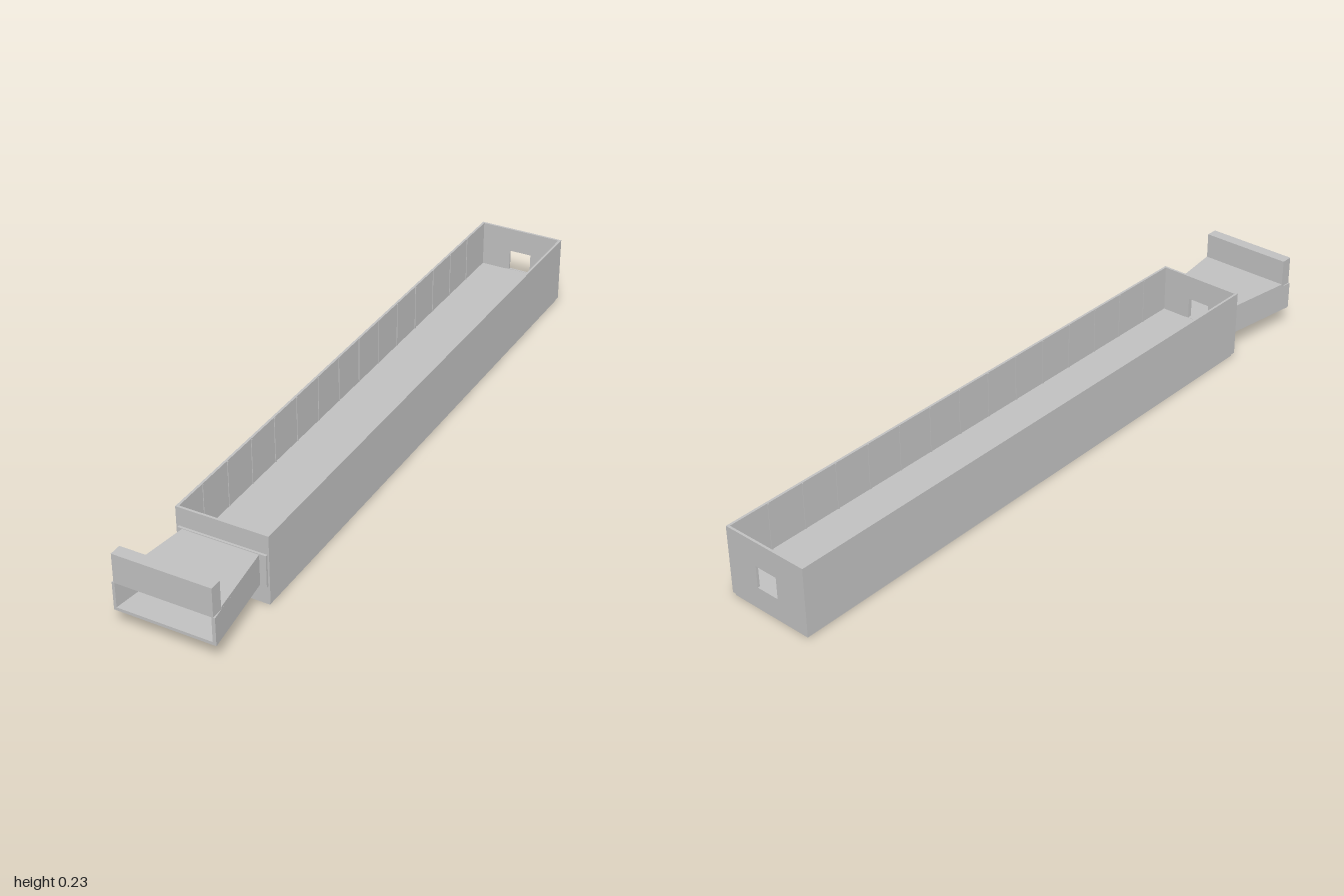
import * as THREE from 'three';

export function createModel() {
  const model = new THREE.Group();
  const grey = new THREE.MeshStandardMaterial({ color: 0xc0c0c0 });
  grey.name = 'light grey';

  const add = (name, geometry) => {
    const mesh = new THREE.Mesh(geometry, grey);
    mesh.name = name;
    model.add(mesh);
  };
  // Box given by its limits on each axis
  const box = (name, x0, x1, y0, y1, z0, z1) => add(name,
    new THREE.BoxGeometry(x1 - x0, y1 - y0, z1 - z0)
      .translate((x0 + x1) / 2, (y0 + y1) / 2, (z0 + z1) / 2));
  const outline = pts => new THREE.Shape(pts.map(p => new THREE.Vector2(...p)));
  const rect = (x0, x1, y0, y1) => [[x0, y0], [x1, y0], [x1, y1], [x0, y1]];
  // Upright plate with the square window cut through it
  const plate = (name, pts, z0, z1) => {
    const shape = outline(pts);
    shape.holes.push(outline(rect(-0.031, 0.039, 0.072, 0.136)));
    add(name, new THREE.ExtrudeGeometry(shape, { depth: z1 - z0, bevelEnabled: false })
      .translate(0, 0, z0));
  };
  // Slab with an outline in x and z, between two heights
  const slab = (name, pts, y0, y1) => add(name,
    new THREE.ExtrudeGeometry(outline(pts), { depth: y1 - y0, bevelEnabled: false })
      .rotateX(Math.PI / 2).translate(0, y1, 0));

  // Long open tray
  const L = -0.129, R = 0.136, T = 0.007, H = 0.21, back = -1, front = 0.745;
  box('basePlate', -0.123, 0.131, 0, 0.01, back + 0.005, front - 0.005);
  box('trayFloor', L + T, R - T, 0.01, 0.07, back + T, front - T);
  box('rightWall', L, L + T, 0.01, H, back + T, front - T);
  box('leftWall', R - T, R, 0.01, H, back + T, front - T);
  plate('backWall', rect(L, R, 0.01, H), back, back + T);
  plate('frontWall', rect(L, R, 0.01, H), front - T, front);

  // Fine seams on the inside of the tray
  box('floorStrip', -0.042, 0.049, 0.07, 0.0715, back + T, front - T);
  for (let i = 0; i < 14; i++) {
    const z = -0.87 + i * 0.1155;
    box('rightSeam', L + T, L + T + 0.002, 0.07, H - 0.002, z - 0.002, z + 0.002);
    box('leftSeam', R - T - 0.002, R - T, 0.07, H - 0.002, z - 0.002, z + 0.002);
  }

  // T-shaped mounting flange
  plate('mountingFlange', [[-0.04, 0.01], [0.047, 0.01], [0.047, 0.06], [0.131, 0.06],
    [0.131, 0.155], [-0.121, 0.155], [-0.121, 0.06], [-0.04, 0.06]], front, 0.752);

  // Flared hollow mouth
  const z0 = 0.75, z1 = 1;
  const flare = [[-0.108, z0], [0.112, z0], [0.144, z1], [-0.144, z1]];
  slab('mouthFloor', flare, 0.063, 0.072);
  const cut = 0.965;
  slab('mouthRoof', [[-0.108, z0], [0.112, z0], [0.1395, cut], [-0.139, cut]], 0.145, 0.153);
  slab('mouthRightSide', [[-0.108, z0], [-0.1, z0], [-0.136, z1], [-0.144, z1]], 0.072, 0.1455);
  slab('mouthLeftSide', [[0.105, z0], [0.112, z0], [0.144, z1], [0.134, z1]], 0.072, 0.1455);

  // Raised lip above the mouth
  box('frontLip', -0.139, 0.139, 0.145, 0.23, cut, z1);

  return model;
}
